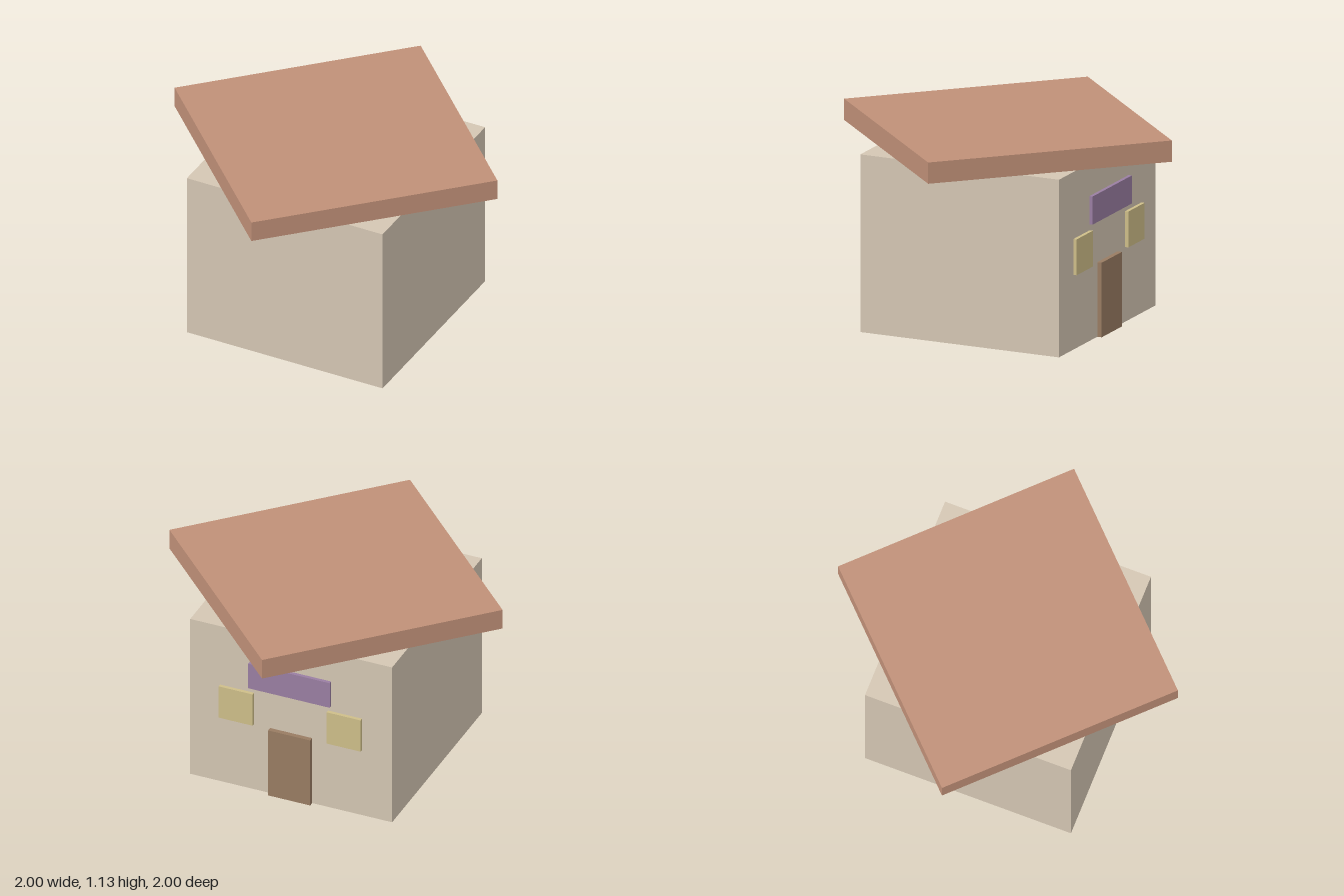
import * as THREE from 'three';

const material = (name, color) => {
  const m = new THREE.MeshStandardMaterial({ color });
  m.name = name;
  return m;
};

export function createModel() {
  const group = new THREE.Group();
  const plaster = material('plaster', 0xd4c6b3);
  const tile = material('roofTile', 0xc09078);
  const wood = material('doorWood', 0x997c62);
  const glass = material('windowGlass', 0xcebe89);
  const purple = material('signPurple', 0x9a7ea2);

  // box given by its size, centre x, bottom y and centre z
  const box = (name, mat, [w, h, d], [x, y, z]) => {
    const mesh = new THREE.Mesh(new THREE.BoxGeometry(w, h, d), mat);
    mesh.name = name;
    mesh.position.set(x, y + h / 2, z);
    group.add(mesh);
    return mesh;
  };

  // square house body
  box('walls', plaster, [1.212, 1.01, 1.212], [0, 0, 0]);

  // flat slab roof, turned so its corners point along the axes
  const roof = box('roof', tile, [Math.SQRT2, 0.121, Math.SQRT2], [0, 1.011, 0]);
  roof.rotation.y = Math.PI / 4;

  // door, windows and floating sign on the back wall
  box('door', wood, [0.252, 0.424, 0.03], [0, 0, -0.618]);
  for (const side of [-1, 1]) {
    box(side > 0 ? 'leftWindow' : 'rightWindow', glass,
      [0.204, 0.204, 0.022], [side * 0.324, 0.425, -0.615]);
  }
  box('sign', purple, [0.49, 0.16, 0.02], [0, 0.67, -0.626]);

  return group;
}
